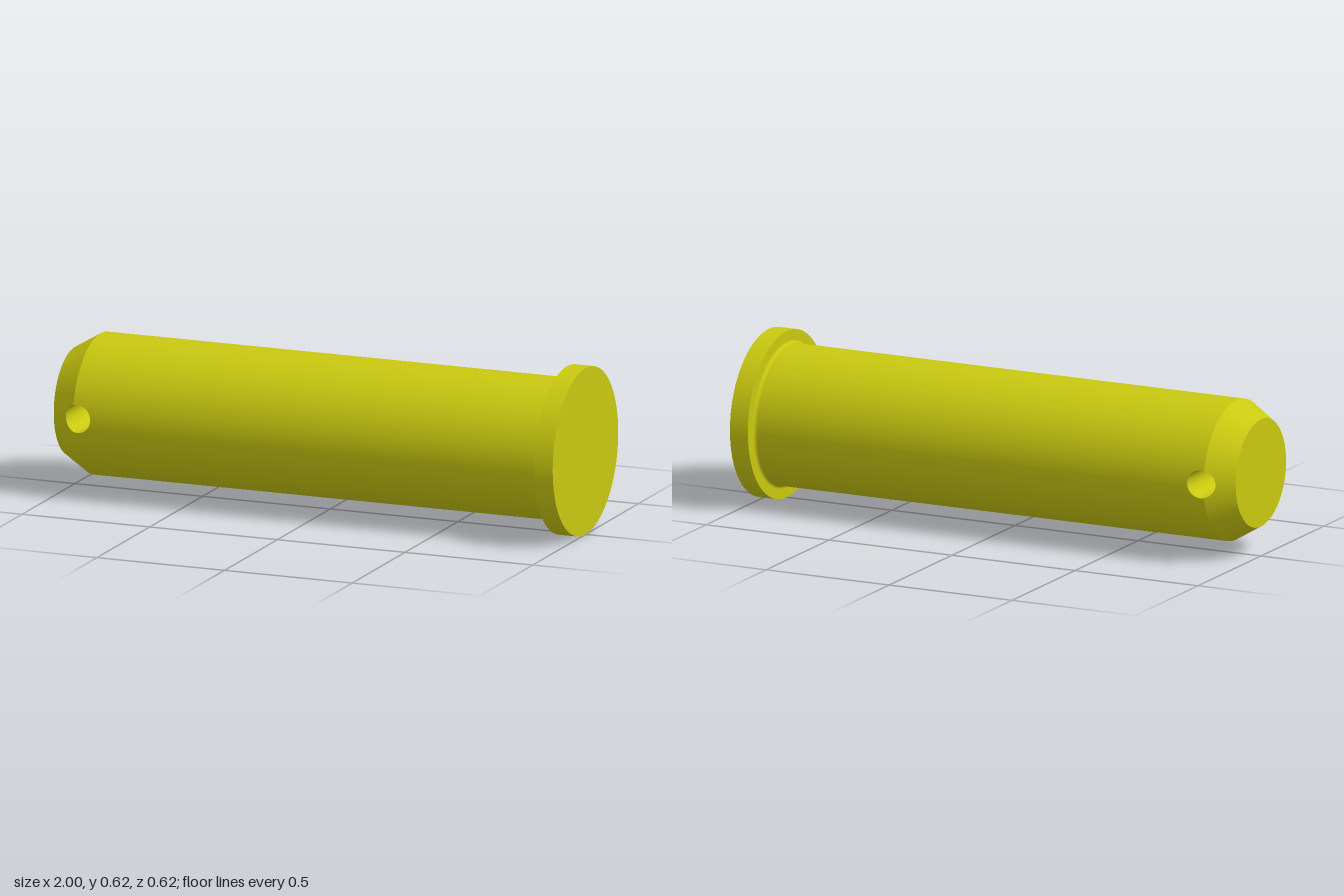
import * as THREE from 'three';
import { mergeGeometries } from 'three/addons/utils/BufferGeometryUtils.js';

const AXIS_Y = 0.31;                         // height of the pin's axis
const R = 0.26, TIP_R = 0.2, HEAD_R = 0.31;
const TIP_X = -1, EDGE_X = -0.9, JOIN_X = -0.75, HEAD_X = 0.927;
const HOLE_X = -0.885, HOLE_R = 0.052;
const T = Math.PI / 6;                       // half angle of the pierced patch
const SLOPE = (R - TIP_R) / (EDGE_X - TIP_X);

// Radius of the pin end at x
const radiusAt = (x) => (x < EDGE_X ? TIP_R + (x - TIP_X) * SLOPE : R);

// Grid surface; fn(u, v) returns a [point, normal] pair, faces follow the normals
function surface(nu, nv, fn) {
  const pos = [], nor = [], uv = [], idx = [], pts = [], nrm = [];
  for (let i = 0; i <= nu; i++) for (let j = 0; j <= nv; j++) {
    const [p, n] = fn(i / nu, j / nv);
    n.normalize();
    pts.push(p); nrm.push(n);
    pos.push(p.x, p.y, p.z); nor.push(n.x, n.y, n.z); uv.push(i / nu, j / nv);
  }
  const face = (a, b, c) => {
    const g = pts[b].clone().sub(pts[a]).cross(pts[c].clone().sub(pts[a]));
    if (g.dot(nrm[a]) < 0) idx.push(a, c, b); else idx.push(a, b, c);
  };
  for (let i = 0; i < nu; i++) for (let j = 0; j < nv; j++) {
    const a = i * (nv + 1) + j, b = a + nv + 1;
    face(a, b, b + 1);
    face(a, b + 1, a + 1);
  }
  const geo = new THREE.BufferGeometry();
  geo.setAttribute('position', new THREE.Float32BufferAttribute(pos, 3));
  geo.setAttribute('normal', new THREE.Float32BufferAttribute(nor, 3));
  geo.setAttribute('uv', new THREE.Float32BufferAttribute(uv, 2));
  geo.setIndex(idx);
  return geo;
}

// Point and normal on the round outside at (x, angle)
function onPin(x, angle, slope) {
  const r = radiusAt(x), s = Math.sin(angle), c = Math.cos(angle);
  return [new THREE.Vector3(x, r * s, r * c), new THREE.Vector3(-slope, s, c)];
}

// The two zones of the pierced end, divided by the chamfer edge
const A = Math.acos((EDGE_X - HOLE_X) / HOLE_R);
const zones = [
  { slope: 0, t0: -A, t1: A, far: JOIN_X, sign: -1 },
  { slope: SLOPE, t0: A, t1: 2 * Math.PI - A, far: TIP_X, sign: 1 },
];

// Rim of the hole in plan
function rim(zone, u) {
  const t = zone.t0 + (zone.t1 - zone.t0) * u;
  return { t, x: HOLE_X + HOLE_R * Math.cos(t), y: HOLE_R * Math.sin(t) };
}

// Patch between the hole rim and a three-sided border, at the front or turned to the back
function piercedPatch(zone, turn) {
  const a = zone.sign * T;
  const border = [[EDGE_X, a], [zone.far, a], [zone.far, -a], [EDGE_X, -a]];
  return surface(48, 8, (u, v) => {
    const k = Math.min(2, Math.floor(u * 3 + 1e-9)), f = u * 3 - k;
    const ox = border[k][0] + (border[k + 1][0] - border[k][0]) * f;
    const oa = border[k][1] + (border[k + 1][1] - border[k][1]) * f;
    const { x, y } = rim(zone, u);
    const ia = Math.asin(y / radiusAt(x));
    return onPin(x + (ox - x) * v, ia + (oa - ia) * v + turn, zone.slope);
  });
}

// Plain side of the end, above and below the hole
const plainPatch = (zone, turn) => surface(32, 1, (u, v) =>
  onPin(EDGE_X + (zone.far - EDGE_X) * v, turn + T + (Math.PI - 2 * T) * u, zone.slope));

// Wall of the cross hole, facing inwards
const holeWall = (zone) => surface(48, 1, (u, v) => {
  const { t, x, y } = rim(zone, u);
  const z = Math.sqrt(radiusAt(x) ** 2 - y * y) * (v * 2 - 1);
  return [new THREE.Vector3(x, y, z), new THREE.Vector3(-Math.cos(t), -Math.sin(t), 0)];
});

export function createModel() {
  const yellow = new THREE.MeshStandardMaterial({ color: 0xc9c810 });
  yellow.name = 'yellow';
  const model = new THREE.Group();
  model.name = 'clevisPin';
  const add = (name, geo) => {
    const mesh = new THREE.Mesh(geo, yellow);
    mesh.name = name;
    mesh.position.y = AXIS_Y;
    model.add(mesh);
  };

  // Shank with a small fillet under the head
  const F = 0.012;
  const profile = [new THREE.Vector2(R, JOIN_X), new THREE.Vector2(R, HEAD_X - F - 0.004)];
  for (let i = 0; i <= 6; i++) {
    const a = (i / 6) * Math.PI / 2;
    profile.push(new THREE.Vector2(R + F * (1 - Math.cos(a)), HEAD_X - F + F * Math.sin(a)));
  }
  add('shank', new THREE.LatheGeometry(profile, 96).rotateZ(-Math.PI / 2));

  // Flat round head
  const headLength = 1 - HEAD_X;
  add('head', new THREE.CylinderGeometry(HEAD_R, HEAD_R, headLength, 96)
    .rotateZ(-Math.PI / 2).translate(HEAD_X + headLength / 2, 0, 0));

  // Pierced end: straight part and chamfer
  zones.forEach((zone, i) => {
    const parts = [0, Math.PI].flatMap((turn) => [piercedPatch(zone, turn), plainPatch(zone, turn)]);
    add(i ? 'chamfer' : 'piercedEnd', mergeGeometries(parts));
  });
  add('crossHole', mergeGeometries(zones.map(holeWall)));

  // Flat tip
  add('tip', new THREE.CircleGeometry(TIP_R, 96).rotateY(-Math.PI / 2).translate(TIP_X, 0, 0));
  return model;
}
